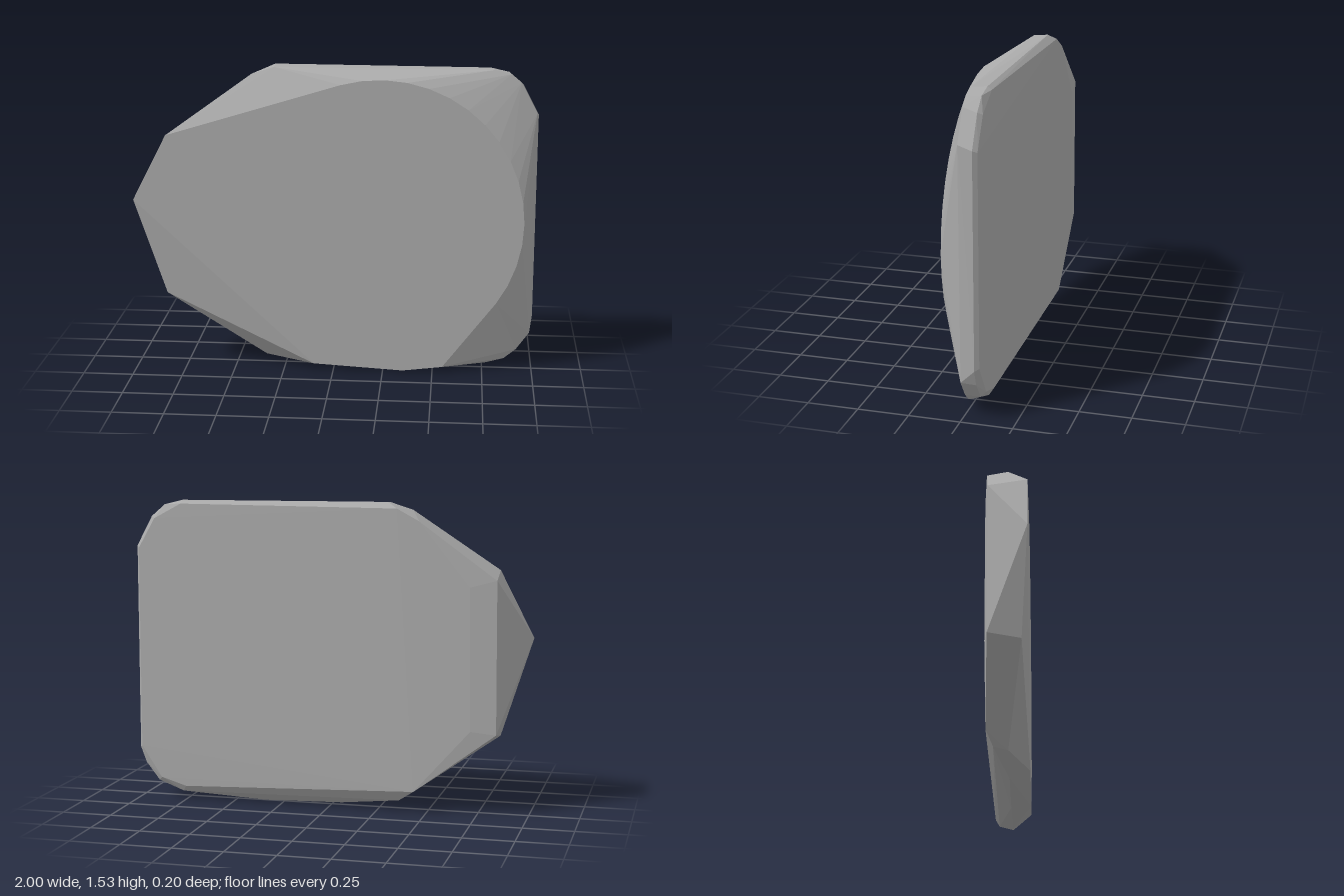
import * as THREE from 'three';
import { ConvexGeometry } from 'three/addons/geometries/ConvexGeometry.js';

export function createModel() {
  const group = new THREE.Group();
  const stone = new THREE.MeshStandardMaterial({ color: 0xaaaaaa });
  stone.name = 'stone grey';
  stone.flatShading = true;

  const points = [];
  const layer = (z, outline) => {
    for (const [x, y] of outline) points.push(new THREE.Vector3(x, y, z));
  };

  // Flat front: pointed left end, straight chamfers and a round right end
  layer(0.1, [[-1, 0.87], [-0.83, 1.2], [-0.1, 0.03], [0.35, 0.005], [0.55, 0.03]]);
  const arc = [];
  for (let i = 0; i <= 16; i++) {
    const a = THREE.MathUtils.degToRad(106 - i * 8.8);
    arc.push([0.23 + 0.71 * Math.cos(a), 0.78 + 0.71 * Math.sin(a)]);
  }
  layer(0.1, arc);
  layer(0.07, [[-0.845, 0.38]]);

  // Widest outline around the middle
  layer(0, [
    [-0.41, 1.495], [-0.3, 1.53], [0.78, 1.53], [0.86, 1.51], [0.91, 1.47],
    [0.99, 1.32], [0.985, 0.19], [0.92, 0.1], [0.86, 0.05], [0.77, 0.025],
    [0.35, 0], [-0.05, 0.01], [-0.35, 0.04],
  ]);

  // Back shoulder
  layer(-0.07, [
    [-0.3, 1.535], [0.76, 1.53], [0.85, 1.51], [0.92, 1.45], [1, 1.3],
    [1, 0.26], [0.97, 0.18], [0.9, 0.09], [0.77, 0.04], [-0.36, 0.055],
  ]);

  // Back face, bending forward slightly towards the left tip
  layer(-0.085, [[-0.84, 1.165], [-0.845, 0.41]]);
  layer(-0.09, [
    [0.76, 1.515], [0.9, 1.44], [0.985, 1.29], [0.985, 0.27], [0.88, 0.11], [0.75, 0.07],
  ]);
  layer(-0.1, [[-0.71, 1.13], [-0.72, 0.425]]);
  layer(-0.103, [[-0.35, 1.505], [-0.46, 1.445], [-0.44, 0.11]]);

  const slab = new THREE.Mesh(new ConvexGeometry(points), stone);
  slab.name = 'stoneSlab';
  group.add(slab);
  return group;
}
